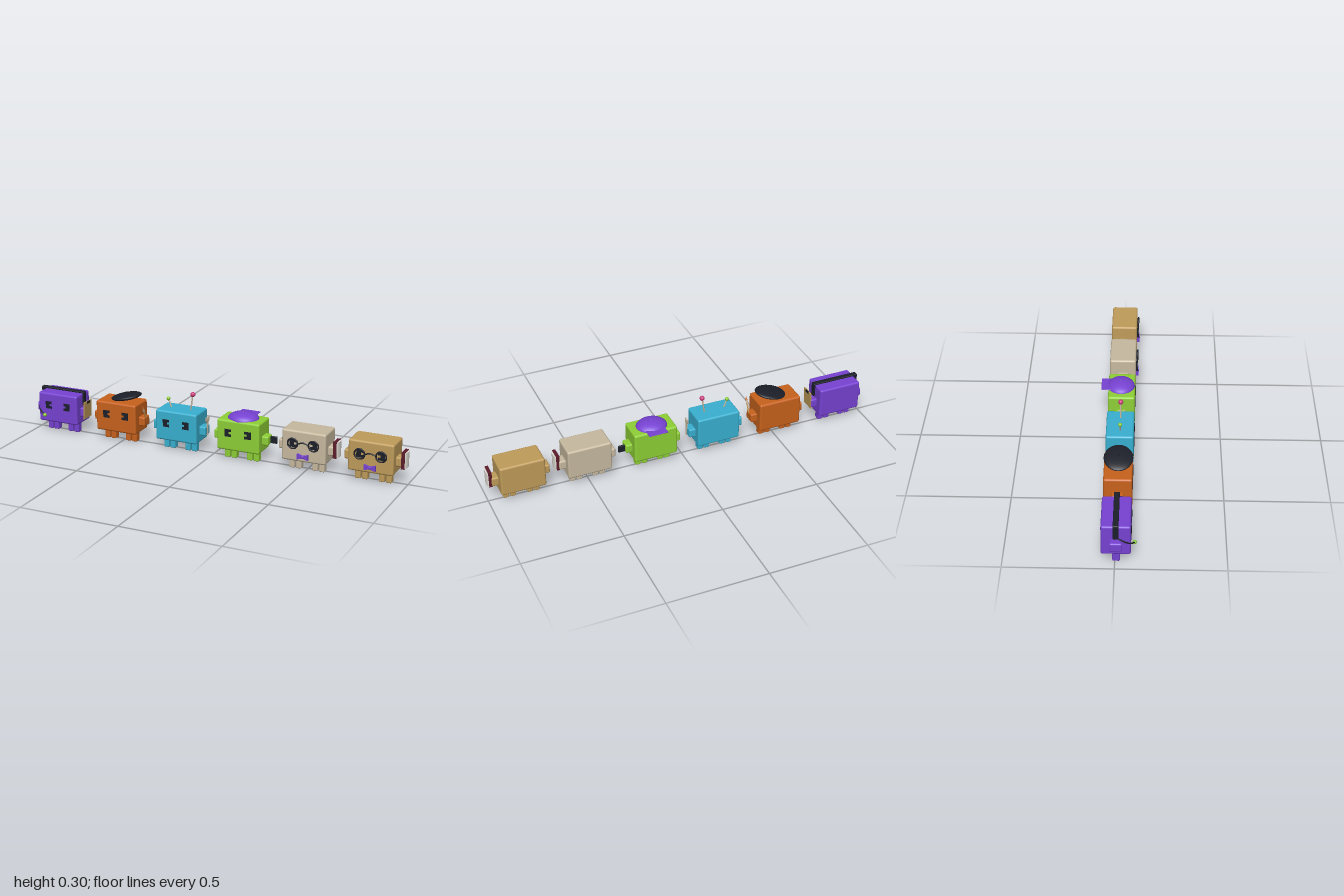
import * as THREE from 'three';
import { RoundedBoxGeometry } from 'three/addons/geometries/RoundedBoxGeometry.js';

const mat = (name, color) => {
  const m = new THREE.MeshStandardMaterial({ color });
  m.name = name;
  return m;
};

export function createModel() {
  const M = {
    purple: mat('purple', 0x7742d2), orange: mat('orange', 0xc8621c),
    blue: mat('blue', 0x38b0d0), green: mat('green', 0x8ed036),
    beige: mat('beige', 0xc8baa0), tan: mat('tan', 0xc09c5a),
    black: mat('black', 0x1c1f29), pink: mat('pink', 0xc83a78),
    maroon: mat('maroon', 0x5c1c2a), white: mat('white', 0xe4e0d8),
  };

  const add = (parent, name, geo, m, x = 0, y = 0, z = 0) => {
    const mesh = new THREE.Mesh(geo, m);
    mesh.name = name;
    mesh.position.set(x, y, z);
    parent.add(mesh);
    return mesh;
  };
  const rbox = (w, h, d, r) => new RoundedBoxGeometry(w, h, d, 3, r);
  const box = (w, h, d) => new THREE.BoxGeometry(w, h, d);
  const ball = r => new THREE.SphereGeometry(r, 24, 16);
  const rod = (pts, r) => new THREE.TubeGeometry(
    new THREE.CatmullRomCurve3(pts.map(p => new THREE.Vector3(...p))), 20, r, 10);
  const plate = (pts, depth) => new THREE.ExtrudeGeometry(
    new THREE.Shape(pts.map(p => new THREE.Vector2(...p))), { depth, bevelEnabled: false });

  // Shared body: block torso, side arms, four legs in a row, notched eyes
  const critter = (name, x, m) => {
    const g = new THREE.Group();
    g.name = name;
    g.position.x = x;
    add(g, 'body', rbox(0.224, 0.155, 0.134, 0.01), m, 0, 0.1325, 0.005);
    for (const s of [-1, 1]) {
      add(g, 'arm', rbox(0.05, 0.047, 0.058, 0.008), m, s * 0.119, 0.117, 0.005);
      for (const lx of [0.042, 0.077])
        add(g, 'leg', rbox(0.028, 0.07, 0.034, 0.005), m, s * lx, 0.035, 0.006);
      const eye = plate([[-0.017, -0.019], [0.017, -0.019], [0.017, -0.006], [0.005, -0.006],
        [0.005, 0.006], [0.017, 0.006], [0.017, 0.019], [-0.017, 0.019]], 0.004);
      const e = add(g, 'eye', eye, M.black, s * 0.053, 0.146, 0.0705);
      if (s > 0) e.rotation.y = Math.PI, e.position.z += 0.004;
    }
    return g;
  };

  // Purple: headset with microphone, and a clipboard
  const purple = critter('purpleCritter', -0.856, M.purple);
  add(purple, 'headband', rbox(0.25, 0.009, 0.026, 0.004), M.black, 0, 0.219, 0.005);
  for (const s of [-1, 1])
    add(purple, 'headbandSide', rbox(0.01, 0.07, 0.026, 0.004), M.black, s * 0.12, 0.186, 0.005);
  add(purple, 'microphoneBoom', rod([[-0.12, 0.155, 0.012], [-0.118, 0.13, 0.05],
    [-0.1, 0.112, 0.076], [-0.07, 0.094, 0.088]], 0.0035), M.black);
  add(purple, 'microphone', ball(0.0095), M.green, -0.069, 0.094, 0.088);
  const board = add(purple, 'clipboard', box(0.006, 0.09, 0.07), M.tan, 0.143, 0.133, 0.015);
  board.rotation.z = -0.05;
  add(board, 'clip', box(0.005, 0.012, 0.026), M.black, 0.004, 0.04, 0);

  // Orange: tilted beret and a paintbrush
  const orange = critter('orangeCritter', -0.517, M.orange);
  const beret = add(orange, 'beret', ball(1), M.black, 0.029, 0.232, 0.005);
  beret.scale.set(0.081, 0.016, 0.069);
  beret.rotation.z = 0.2;
  add(orange, 'beretStem', new THREE.CylinderGeometry(0.003, 0.004, 0.012, 10), M.black, 0.026, 0.25, 0.005);
  const brush = new THREE.Group();
  brush.name = 'paintbrush';
  brush.position.set(0.141, 0.15, 0.02);
  brush.rotation.x = 0.45;
  add(brush, 'brushHandle', new THREE.CylinderGeometry(0.004, 0.003, 0.09, 10), M.tan, 0, -0.015, 0);
  add(brush, 'brushFerrule', new THREE.CylinderGeometry(0.005, 0.005, 0.018, 10), M.beige, 0, 0.037, 0);
  add(brush, 'brushTip', new THREE.ConeGeometry(0.006, 0.022, 10), M.orange, 0, 0.057, 0);
  orange.add(brush);

  // Blue: two antennae and a wrench
  const blue = critter('blueCritter', -0.179, M.blue);
  for (const [x0, x1, y1, r, m] of [[-0.053, -0.071, 0.253, 0.0095, M.green], [0.051, 0.064, 0.292, 0.0125, M.pink]]) {
    add(blue, 'antenna', rod([[x0, 0.205, 0.006], [x1, y1, 0.006]], 0.0035), M.beige);
    add(blue, 'antennaTip', ball(r), m, x1, y1, 0.006);
  }
  const wrench = new THREE.Shape([[-0.006, -0.045], [0.006, -0.045], [0.006, 0.02], [0.016, 0.03],
    [0.016, 0.048], [0.007, 0.048], [0.007, 0.034], [-0.007, 0.034], [-0.007, 0.048],
    [-0.016, 0.048], [-0.016, 0.03], [-0.006, 0.02]].map(p => new THREE.Vector2(...p)));
  const w = add(blue, 'wrench', new THREE.ExtrudeGeometry(wrench, { depth: 0.006, bevelEnabled: false }),
    M.beige, 0.142, 0.14, 0.01);
  w.rotation.y = Math.PI / 2;

  // Green: backward cap and a handheld device
  const green = critter('greenCritter', 0.157, M.green);
  const dome = add(green, 'capDome', new THREE.SphereGeometry(1, 32, 12, 0, Math.PI * 2, 0, Math.PI / 2),
    M.purple, 0, 0.206, 0.001);
  dome.scale.set(0.079, 0.034, 0.069);
  add(green, 'capButton', ball(0.006), M.purple, 0, 0.24, 0.001);
  add(green, 'capBrim', rbox(0.098, 0.005, 0.065, 0.002), M.purple, 0, 0.216, -0.064);
  add(green, 'device', rbox(0.038, 0.036, 0.01, 0.003), M.black, 0.159, 0.117, -0.004);

  // Beige and tan: round glasses, bow tie and a book
  const scholar = (name, x, m) => {
    const g = critter(name, x, m);
    for (const s of [-1, 1]) {
      add(g, 'glassesRim', new THREE.TorusGeometry(0.025, 0.004, 10, 32), M.black, s * 0.053, 0.146, 0.078);
      const wing = plate([[0, -0.005], [0.028, -0.014], [0.028, 0.014], [0, 0.005]], 0.014);
      const b = add(g, 'bowTieWing', wing, M.purple, 0, 0.084, s > 0 ? 0.07 : 0.084);
      if (s < 0) b.rotation.y = Math.PI;
    }
    add(g, 'glassesBridge', rod([[-0.028, 0.147, 0.078], [0, 0.155, 0.079], [0.028, 0.147, 0.078]], 0.0035), M.black);
    add(g, 'bowTieKnot', rbox(0.014, 0.014, 0.018, 0.004), M.purple, 0, 0.084, 0.077);
    add(g, 'bookCover', box(0.017, 0.082, 0.062), M.maroon, 0.1485, 0.13, 0.015);
    // Pages bulge gently outward around a vertical axis
    const pages = add(g, 'bookPages', new THREE.CylinderGeometry(1, 1, 0.078, 24, 1, false, 0, Math.PI),
      M.white, 0.157, 0.13, 0.0135);
    pages.scale.set(0.008, 1, 0.029);
    return g;
  };

  const model = new THREE.Group();
  model.name = 'critterRow';
  model.add(purple, orange, blue, green,
    scholar('beigeCritter', 0.499, M.beige), scholar('tanCritter', 0.835, M.tan));
  return model;
}
